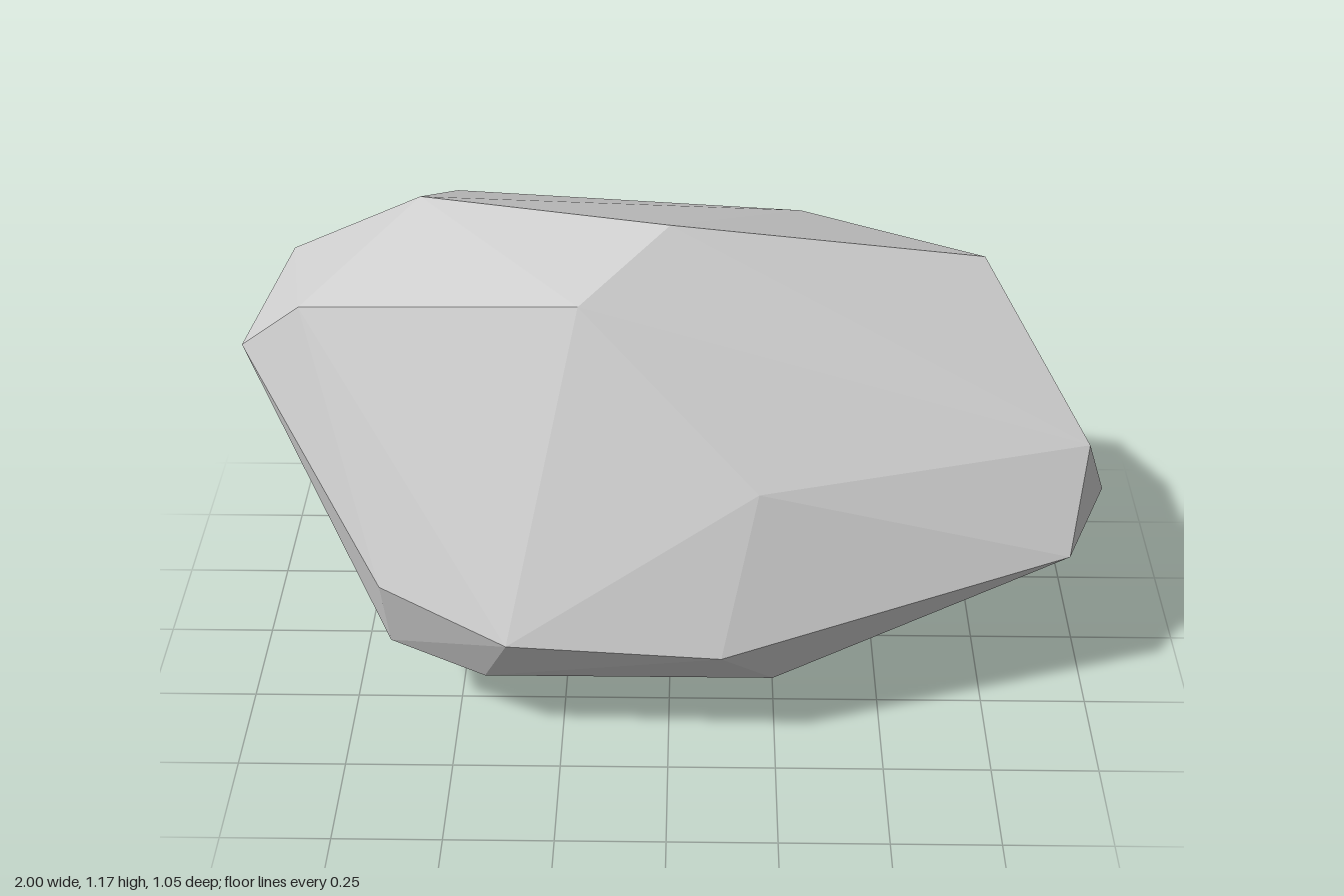
import * as THREE from 'three';
import { ConvexGeometry } from 'three/addons/geometries/ConvexGeometry.js';

export function createModel() {
  const model = new THREE.Group();
  model.name = 'boulder';
  const stone = new THREE.MeshStandardMaterial({ color: 0xcacaca, flatShading: true });
  stone.name = 'light grey stone';

  // Corners of the faceted stone, grouped by side
  const crest = [
    [0, 1.175, 0.04], [-0.57, 1.165, -0.11], [-0.86, 1.05, -0.075],
    [0.72, 1.025, -0.1], [-0.2, 1.06, 0.205], [-0.83, 1.0, 0.11],
  ];
  const front = [
    [0.2, 0.7, 0.4], [0.12, 0.345, 0.53], [-0.36, 0.375, 0.53], [-0.65, 0.455, 0.42],
    [-0.64, 0.27, 0.375], [-0.42, 0.22, 0.44], [0.24, 0.22, 0.44],
  ];
  const ends = [
    [0.95, 0.71, 0.205], [1.0, 0.555, 0.15], [0.91, 0.485, 0.325], [0.995, 0.36, -0.285],
    [0.9, 0.175, -0.21], [-0.97, 0.89, 0.09], [-1.0, 0.8, -0.08], [-0.97, 0.665, -0.33],
  ];
  const back = [
    [0.72, 0.86, -0.4], [0.8, 0.69, -0.44], [0.31, 0.965, -0.437], [-0.52, 1.02, -0.425],
    [0.42, 0.78, -0.525], [-0.41, 0.835, -0.525], [-0.87, 0.88, -0.345], [-0.81, 0.67, -0.42],
  ];
  const base = [
    [0.26, 0.02, 0.09], [0, 0, -0.06], [-0.385, 0.015, 0.07],
    [-0.68, 0.16, -0.04], [-0.22, 0.145, -0.21],
  ];

  // The hull of the corners gives the flat chiselled faces
  const corners = [crest, front, ends, back, base].flat().map((p) => new THREE.Vector3(...p));
  const rock = new THREE.Mesh(new ConvexGeometry(corners), stone);
  rock.name = 'rock';
  model.add(rock);
  return model;
}
